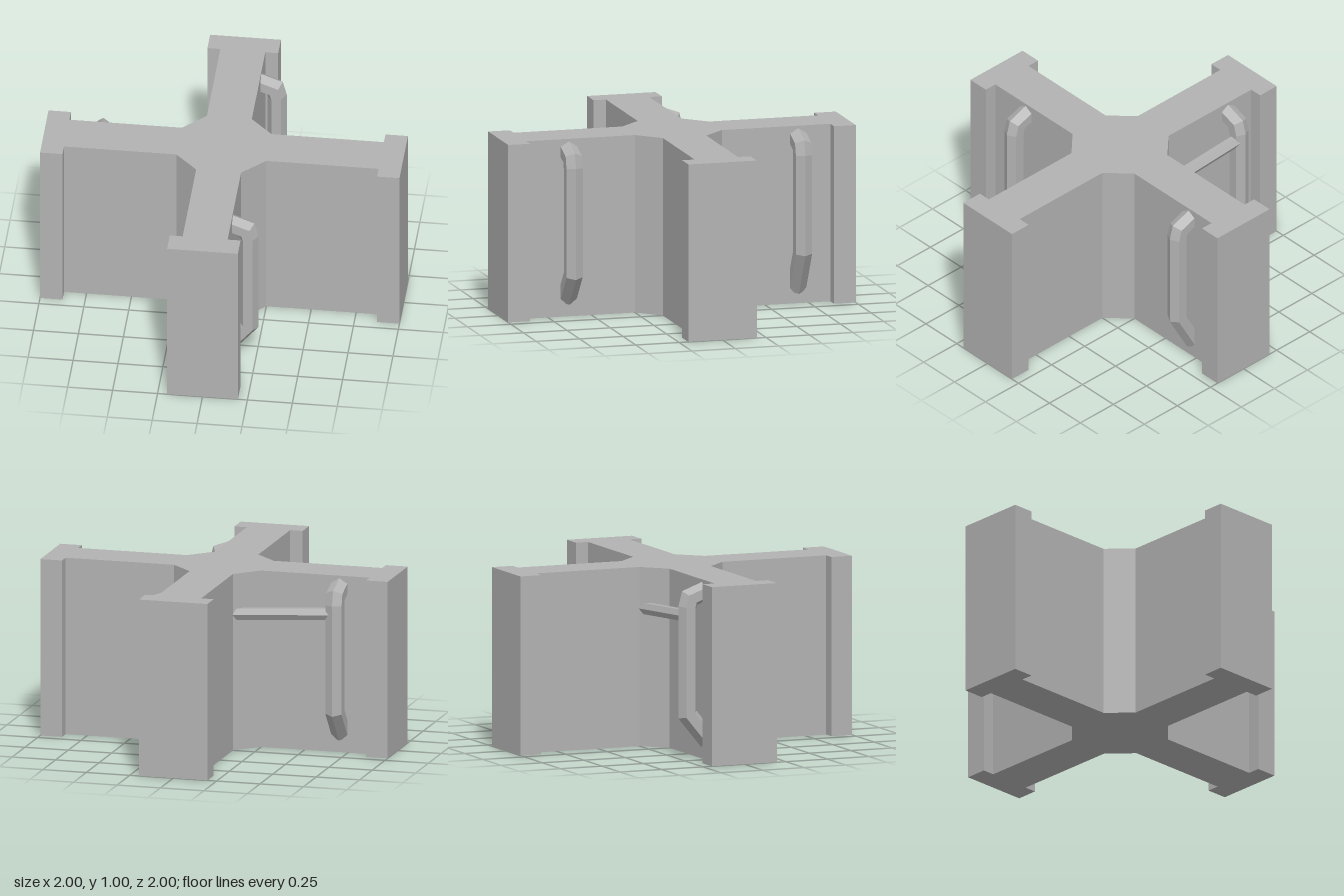
import * as THREE from 'three';

const concrete = new THREE.MeshStandardMaterial({ color: 0xb2b2b2, flatShading: true });
concrete.name = 'grey concrete';

// One arm's outline, from its inner chamfer round the end flange; rotated four times
const ARM = [[0.25, -0.125], [0.875, -0.125], [0.875, -0.197], [1, -0.197],
  [1, 0.197], [0.875, 0.197], [0.875, 0.125], [0.25, 0.125]];

function crossBody() {
  const pts = [];
  for (let k = 0; k < 4; k++) {
    const c = [1, 0, -1, 0][k], s = [0, 1, 0, -1][k];
    for (const [x, y] of ARM) pts.push(new THREE.Vector2(x * c - y * s, x * s + y * c));
  }
  const geo = new THREE.ExtrudeGeometry(new THREE.Shape(pts), { depth: 1, bevelEnabled: false });
  geo.rotateX(-Math.PI / 2);
  return geo;
}

// Six-sided bar swept with mitred bends along a path of [outward, up] points
function bentBar(path, r) {
  const dir = (a, b) => new THREE.Vector2(b[0] - a[0], b[1] - a[1]).normalize();
  const pos = [], idx = [], n = path.length;
  path.forEach((p, i) => {
    const t0 = dir(path[Math.max(i - 1, 0)], path[Math.max(i, 1)]);
    const t1 = dir(path[Math.min(i, n - 2)], path[Math.min(i + 1, n - 1)]);
    const t = t0.clone().add(t1).normalize();
    const m = r / t.dot(t0);
    for (let j = 0; j < 6; j++) {
      const a = j * Math.PI / 3;
      pos.push(p[0] - t.y * m * Math.cos(a), p[1] + t.x * m * Math.cos(a), r * Math.sin(a));
    }
  });
  for (let i = 0; i < n - 1; i++) {
    for (let j = 0; j < 6; j++) {
      const a = i * 6 + j, b = i * 6 + (j + 1) % 6;
      idx.push(a, b, b + 6, a, b + 6, a + 6);
    }
  }
  const indexed = new THREE.BufferGeometry();
  indexed.setAttribute('position', new THREE.Float32BufferAttribute(pos, 3));
  indexed.setIndex(idx);
  const geo = indexed.toNonIndexed();
  geo.computeVertexNormals();
  return geo;
}

export function createModel() {
  const group = new THREE.Group();
  const add = (name, geo) => {
    const mesh = new THREE.Mesh(geo, concrete);
    mesh.name = name;
    group.add(mesh);
    return mesh;
  };

  add('crossBody', crossBody());

  // Upright handles, their ends buried in the arm walls
  const handle = (name, bend, foot, x, z, turn) => {
    const path = [[0.08, 0.945], [0.2, 0.9], [0.213, 0.85], [0.213, bend], [0.09, foot]];
    const mesh = add(name, bentBar(path, 0.054));
    mesh.position.set(x, 0, z);
    mesh.rotation.y = turn;
  };
  handle('frontHandle', 0.25, 0.1, 0, 0.63, 0);
  handle('backHandle', 0.305, 0.08, 0, -0.69, 0);
  handle('sideHandle', 0.25, 0.1, -0.7, 0, Math.PI / 2);

  // Crossbar from the inner corner to the side handle
  const bar = new THREE.CylinderGeometry(0.036, 0.036, 0.57, 6);
  bar.rotateZ(Math.PI / 2 - 0.06);
  add('crossbar', bar).position.set(-0.4, 0.785, -0.217);

  return group;
}
